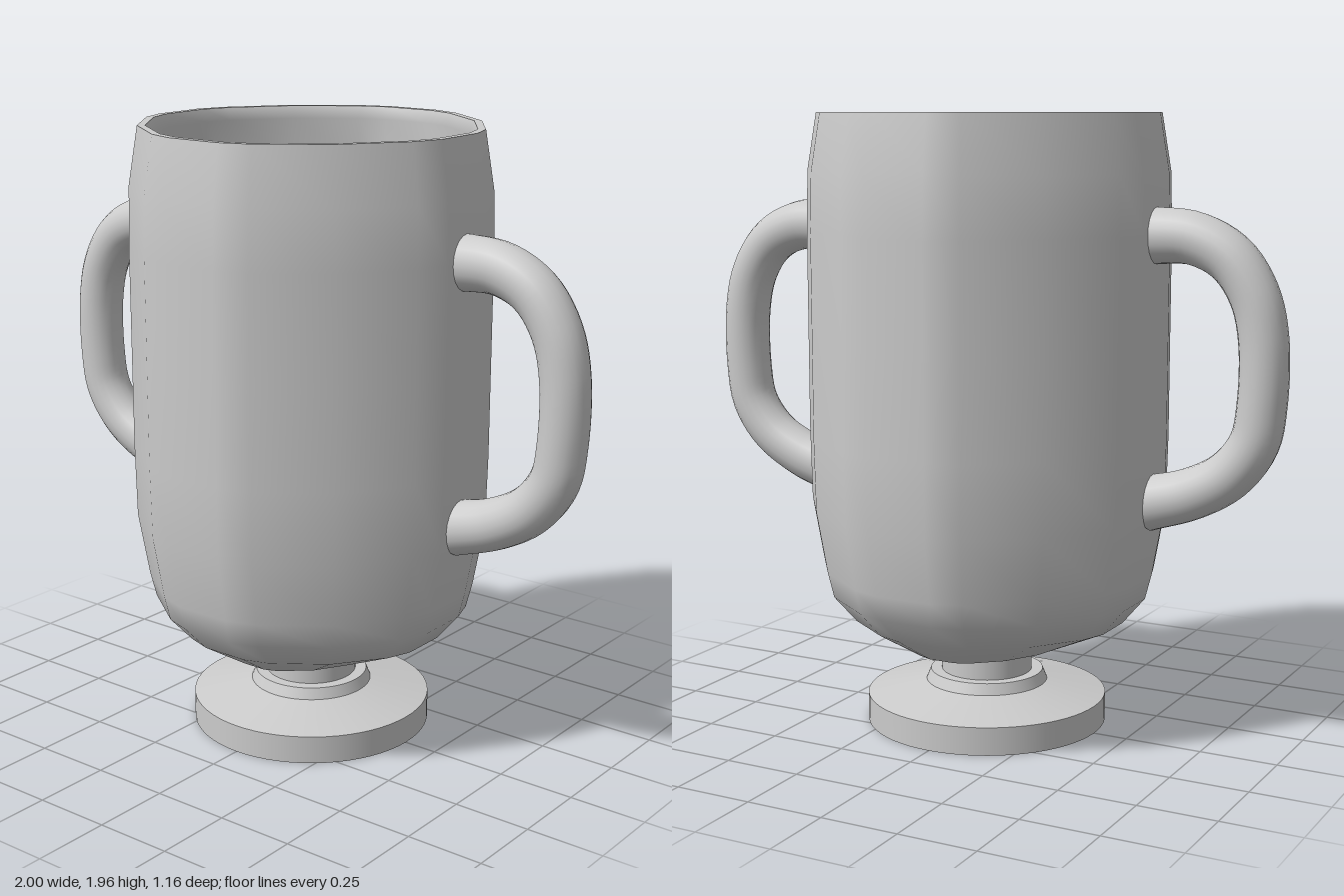
import * as THREE from 'three';

const material = new THREE.MeshStandardMaterial({ color: 0xcccccc, side: THREE.DoubleSide });

// Faceted outline of the cup: one quarter, turned four times (unit size)
const quarter = [[1, 0.17], [0.94, 0.345], [0.69, 0.69], [0.345, 0.94], [0.17, 1]];
const outline = [];
for (let k = 0; k < 4; k++) {
  const c = [1, 0, -1, 0][k], s = [0, 1, 0, -1][k];
  for (const [x, z] of quarter) outline.push([x * c - z * s, x * s + z * c]);
}

// Skin through rings given as [y, x radius, z radius]
function ringSkin(rows) {
  const n = outline.length, pos = [], idx = [];
  for (const [y, rx, rz = rx] of rows) for (const [x, z] of outline) pos.push(x * rx, y, z * rz);
  for (let i = 0; i < rows.length - 1; i++) {
    for (let j = 0; j < n; j++) {
      const a = i * n + j, c = i * n + (j + 1) % n, b = a + n, d = c + n;
      idx.push(a, c, b, c, d, b);
    }
  }
  const g = new THREE.BufferGeometry();
  g.setAttribute('position', new THREE.Float32BufferAttribute(pos, 3));
  g.setIndex(idx);
  g.computeVertexNormals();
  return g;
}

function add(parent, name, geometry) {
  const mesh = new THREE.Mesh(geometry, material);
  mesh.name = name;
  parent.add(mesh);
  return mesh;
}

// Swept handle, slightly deeper in its own plane and flared where it meets the cup
function handleGeometry(side) {
  const path = [[0.555, 1.595], [0.7, 1.59], [0.815, 1.535], [0.89, 1.43], [0.922, 1.3],
    [0.922, 1.1], [0.9, 0.985], [0.825, 0.885], [0.705, 0.815], [0.555, 0.77]];
  const curve = new THREE.CatmullRomCurve3(path.map(([x, y]) => new THREE.Vector3(x * side, y, 0)));
  const segments = 48, sides = 20;
  const g = new THREE.TubeGeometry(curve, segments, 0.075, sides);
  const p = g.attributes.position;
  for (let i = 0; i <= segments; i++) {
    const t = i / segments, centre = curve.getPointAt(t);
    const f = 1 + 0.16 * Math.pow(Math.abs(2 * t - 1), 3);
    for (let j = 0; j <= sides; j++) {
      const k = i * (sides + 1) + j;
      p.setX(k, centre.x + (p.getX(k) - centre.x) * f);
      p.setY(k, centre.y + (p.getY(k) - centre.y) * f);
    }
  }
  return g;
}

export function createModel() {
  const model = new THREE.Group();
  model.name = 'footedCup';

  // Cup: inside, rim and outside kept apart so the rim stays sharp
  const cup = new THREE.Group();
  cup.name = 'cup';
  model.add(cup);
  add(cup, 'cupInside', ringSkin([[0.28, 0], [0.3, 0.22], [0.39, 0.42], [0.48, 0.48],
    [0.72, 0.53], [1.25, 0.535], [1.78, 0.53], [1.92, 0.505], [1.96, 0.52]]));
  add(cup, 'cupRim', ringSkin([[1.96, 0.52], [1.96, 0.545]]));
  add(cup, 'cupOutside', ringSkin([[1.96, 0.545], [1.78, 0.575], [1.6, 0.58], [1.25, 0.58], [0.95, 0.58],
    [0.72, 0.575], [0.52, 0.54], [0.44, 0.52], [0.355, 0.45, 0.44], [0.265, 0.25, 0.3],
    [0.24, 0.14, 0.15], [0.238, 0]]));

  // Foot: stacked sections with sharp edges between them
  const foot = new THREE.Group();
  foot.name = 'foot';
  model.add(foot);
  const sections = [
    ['footDisc', 0.388, 0.388, 0, 0.09],
    ['footSlope', 0.2, 0.388, 0.09, 0.13],
    ['footCollar', 0.183, 0.197, 0.13, 0.165],
    ['stem', 0.147, 0.147, 0.165, 0.26],
  ];
  for (const [name, top, bottom, y0, y1] of sections) {
    add(foot, name, new THREE.CylinderGeometry(top, bottom, y1 - y0, 64)).position.y = (y0 + y1) / 2;
  }

  // Pair of handles
  add(model, 'leftHandle', handleGeometry(1));
  add(model, 'rightHandle', handleGeometry(-1));
  return model;
}
